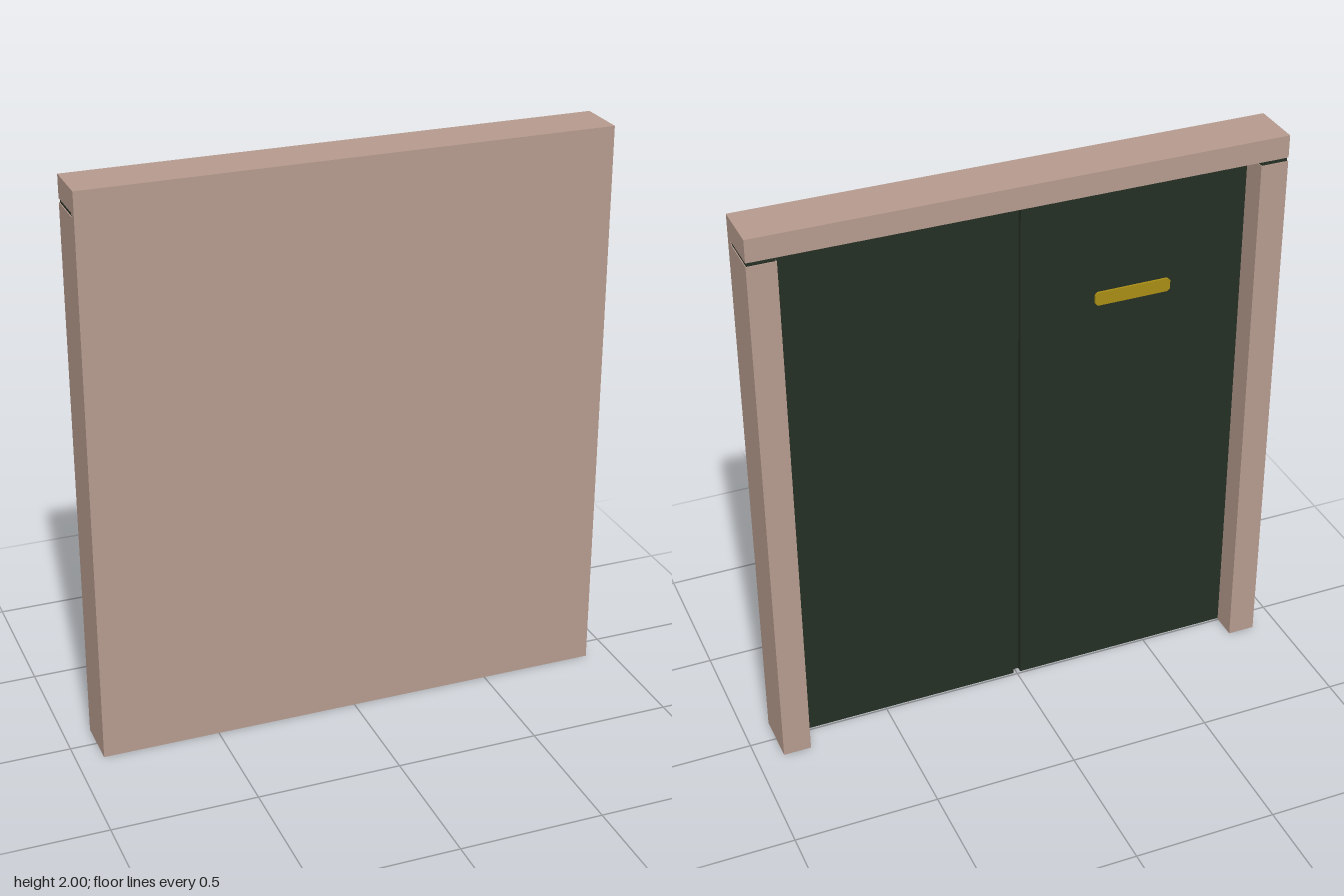
import * as THREE from 'three';

const W = 0.907, D = 0.09, H = 2;      // half width, half depth, height
const OPEN = 0.81;                     // half width of the doorway
const JAMB_TOP = 1.909, LINTEL = 1.922;

export function createModel() {
  const model = new THREE.Group();
  const material = (name, color) => {
    const m = new THREE.MeshStandardMaterial({ color });
    m.name = name;
    return m;
  };
  const stone = material('stone', 0xb59a8d);
  const dark = material('darkGreen', 0x242f24);
  const brass = material('brass', 0xa88c14);

  // Box given by its limits on each axis
  const box = (name, mat, x0, x1, y0, y1, z0, z1) => {
    const mesh = new THREE.Mesh(new THREE.BoxGeometry(x1 - x0, y1 - y0, z1 - z0), mat);
    mesh.position.set((x0 + x1) / 2, (y0 + y1) / 2, (z0 + z1) / 2);
    mesh.name = name;
    model.add(mesh);
  };

  // Plain front wall, the core behind the doors and the lintel
  box('frontWall', stone, -W, W, 0, H, 0.06, D);
  box('wallCore', stone, -OPEN, OPEN, 0, LINTEL, 0.03, 0.06);
  box('lintel', stone, -W, W, LINTEL, H, -D, 0.06);

  for (const [side, s] of [['left', 1], ['right', -1]]) {
    const mirrored = (name, mat, a, b, ...rest) =>
      box(side + name, mat, Math.min(s * a, s * b), Math.max(s * a, s * b), ...rest);
    // Jamb, with a dark joint between it and the lintel
    mirrored('Jamb', stone, OPEN, W, 0, JAMB_TOP, -D, 0.06);
    mirrored('Joint', dark, OPEN + 0.003, W - 0.003, JAMB_TOP, LINTEL, -D + 0.003, 0.06);
    // Door leaf
    mirrored('DoorLeaf', dark, 0.013, OPEN, 0.004, LINTEL, 0.004, 0.03);
  }
  // Dark groove between the two leaves
  box('doorGroove', dark, -0.013, 0.013, 0.004, LINTEL, 0.024, 0.03);

  // Brass plate with clipped corners on the right leaf
  const w = 0.135, h = 0.024, c = 0.009;
  const outline = new THREE.Shape([
    [-w + c, -h], [w - c, -h], [w, -h + c], [w, h - c],
    [w - c, h], [-w + c, h], [-w, h - c], [-w, -h + c],
  ].map(([x, y]) => new THREE.Vector2(x, y)));
  const plate = new THREE.Mesh(
    new THREE.ExtrudeGeometry(outline, { depth: 0.008, bevelEnabled: false }), brass);
  plate.position.set(-0.41, 1.49, -0.004);
  plate.name = 'letterPlate';
  model.add(plate);

  return model;
}
